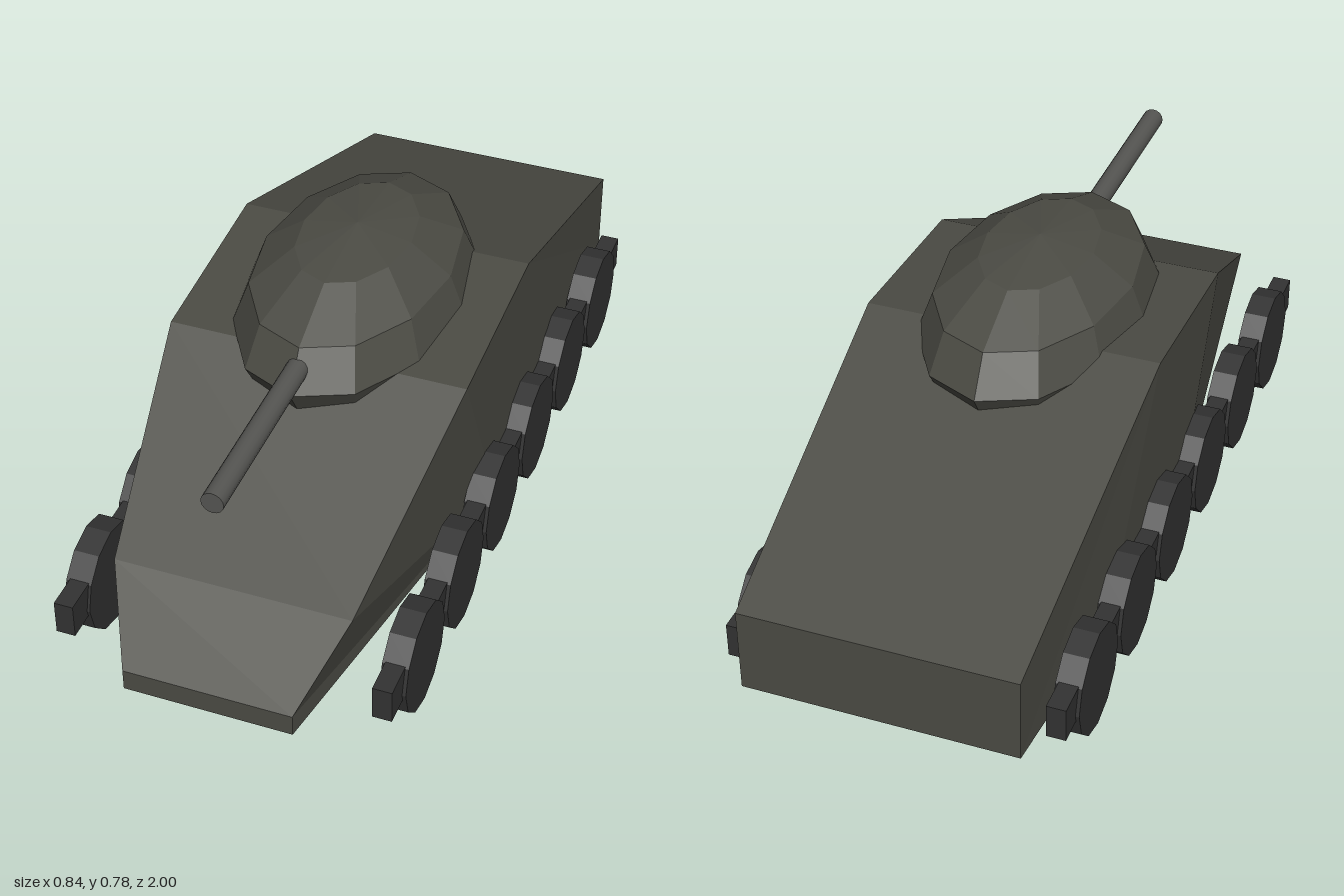
import * as THREE from 'three';

const paint = (color, flatShading = true) => new THREE.MeshStandardMaterial({ color, flatShading });

function addMesh(parent, name, geometry, material, x, y, z) {
  const mesh = new THREE.Mesh(geometry, material);
  mesh.name = name;
  mesh.position.set(x, y, z);
  parent.add(mesh);
  return mesh;
}

// Faceted hull: a closed side outline of [z, y, half width], spanned across x
function hullGeometry() {
  const outline = [
    [-1, 0.115, 0.335], [-0.5, 0.08, 0.36], [0.06, 0.08, 0.368], [1, 0.08, 0.205], // underside, back to front
    [1, 0.135, 0.205], [0.84, 0.31, 0.287], [0.31, 0.585, 0.368], [-0.16, 0.62, 0.368], [-1, 0.33, 0.335], // deck
  ];
  // Flank triangles between the outline corners
  const flank = [[4, 3, 2], [4, 2, 5], [5, 2, 6], [6, 2, 7], [2, 1, 7], [7, 1, 0], [7, 0, 8]];
  const positions = [];
  const index = [];
  for (const [z, y, w] of outline) positions.push(w, y, z, -w, y, z);
  for (let i = 0; i < outline.length; i++) {
    const j = (i + 1) % outline.length;
    index.push(2 * i, 2 * j, 2 * j + 1, 2 * i, 2 * j + 1, 2 * i + 1);
  }
  for (const [a, b, c] of flank) {
    index.push(2 * a, 2 * b, 2 * c);
    index.push(2 * a + 1, 2 * c + 1, 2 * b + 1);
  }
  const geometry = new THREE.BufferGeometry();
  geometry.setAttribute('position', new THREE.Float32BufferAttribute(positions, 3));
  geometry.setIndex(index);
  const flat = geometry.toNonIndexed();
  flat.computeVertexNormals();
  return flat;
}

export function createModel() {
  const model = new THREE.Group();
  model.name = 'tank';
  const olive = paint(0x4b4b44);
  const rubber = paint(0x333333);
  const steel = paint(0x555552, false);

  addMesh(model, 'hull', hullGeometry(), olive, 0, 0, 0);

  // Low-poly ellipsoid turret, half sunk into the deck
  const dome = new THREE.SphereGeometry(1, 12, 6).scale(0.27, 0.195, 0.44);
  addMesh(model, 'turret', dome, olive, 0, 0.585, 0.035);

  // Gun barrel pointing forward
  const barrel = new THREE.CylinderGeometry(0.027, 0.027, 0.6, 16).rotateX(Math.PI / 2);
  addMesh(model, 'gunBarrel', barrel, steel, 0, 0.632, 0.62);

  // Running gear: an axle beam and six road wheels on each side
  const wheel = new THREE.CylinderGeometry(0.134, 0.134, 0.063, 12).rotateZ(Math.PI / 2);
  const beam = new THREE.BoxGeometry(0.047, 0.088, 1.835);
  for (const side of [1, -1]) {
    const gear = new THREE.Group();
    gear.name = side > 0 ? 'leftRunningGear' : 'rightRunningGear';
    addMesh(gear, 'trackBeam', beam, rubber, side * 0.3855, 0.16, 0.002);
    for (let i = 0; i < 6; i++) {
      addMesh(gear, 'roadWheel', wheel, rubber, side * 0.3865, 0.134, 0.72 - i * 0.288);
    }
    model.add(gear);
  }
  return model;
}
